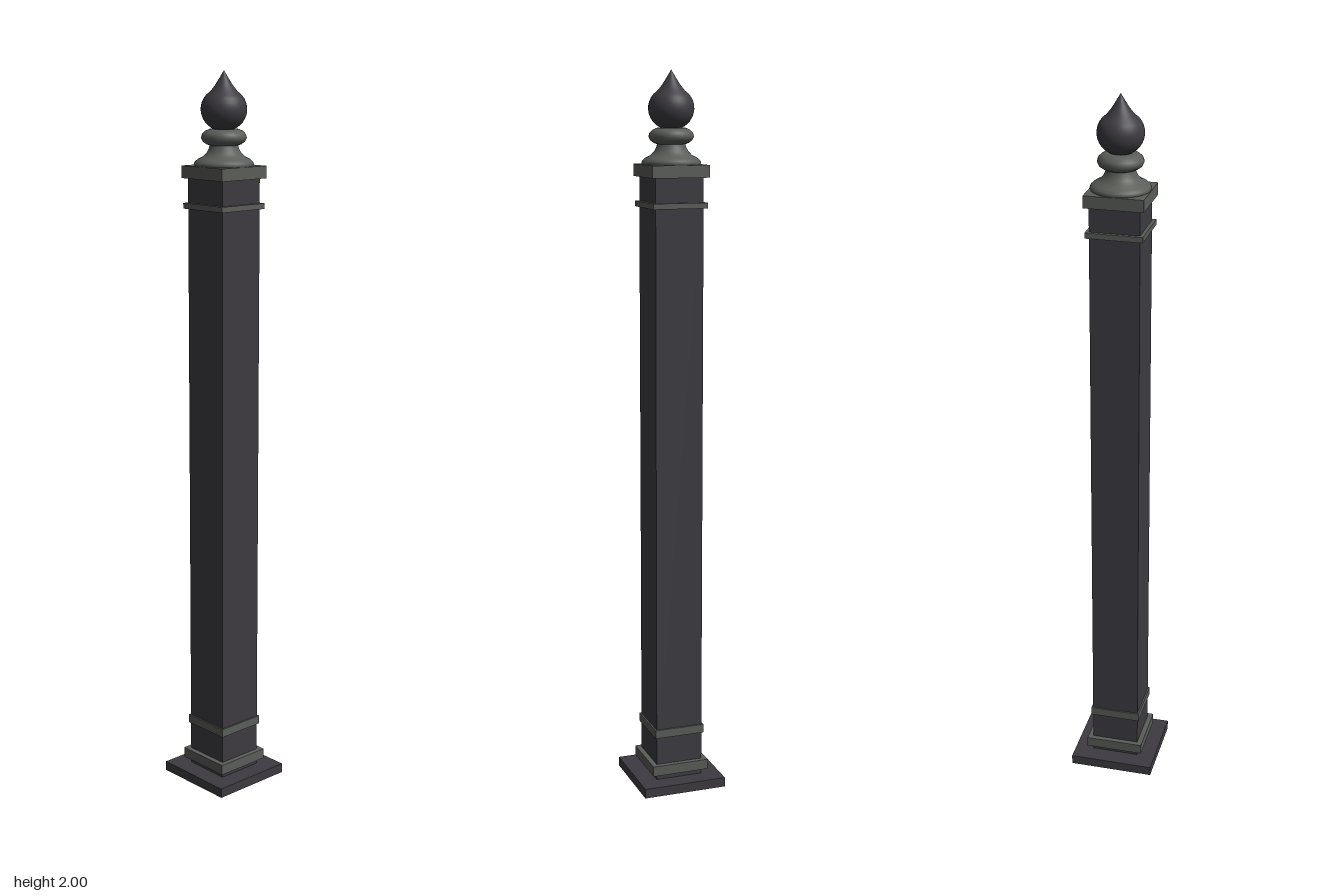
import * as THREE from 'three';

export function createModel() {
  const group = new THREE.Group();
  const iron = new THREE.MeshStandardMaterial({ name: 'darkIron', color: 0x3d3b41 });
  const grey = new THREE.MeshStandardMaterial({ name: 'greenGrey', color: 0x5a5d58 });

  // square block from height y0 to y1 with the given half width
  const block = (name, half, y0, y1, material) => {
    const mesh = new THREE.Mesh(new THREE.BoxGeometry(half * 2, y1 - y0, half * 2), material);
    mesh.position.y = (y0 + y1) / 2;
    mesh.name = name;
    group.add(mesh);
  };

  // turned part from [radius, height] points, bottom to top
  const turned = (name, points, material) => {
    const profile = points.map(([r, y]) => new THREE.Vector2(r, y));
    const mesh = new THREE.Mesh(new THREE.LatheGeometry(profile, 40), material);
    mesh.name = name;
    group.add(mesh);
  };

  // square post
  block('basePlate', 0.12, 0, 0.027, iron);
  block('shaft', 0.0675, 0.027, 1.722, iron);
  block('baseCollar', 0.082, 0.044, 0.073, grey);
  block('lowerBand', 0.072, 0.153, 0.177, grey);
  block('upperBand', 0.077, 1.639, 1.654, grey);
  block('capBlock', 0.08, 1.72, 1.753, grey);

  // flared foot of the finial
  turned('finialFoot', [
    [0.078, 1.753], [0.08, 1.757], [0.078, 1.763], [0.07, 1.77],
    [0.056, 1.777], [0.046, 1.787], [0.04, 1.798], [0.037, 1.81],
  ], grey);

  // rounded ring below the ball
  turned('finialRing', [
    [0.034, 1.805], [0.046, 1.809], [0.056, 1.816], [0.061, 1.826],
    [0.058, 1.836], [0.05, 1.844], [0.038, 1.849], [0, 1.85],
  ], grey);

  // ball drawn out to a point
  const ball = [];
  for (let i = 0; i <= 12; i++) {
    const a = -Math.PI / 2 + (i / 12) * Math.PI * 0.72;
    ball.push([Math.max(0, 0.0615 * Math.cos(a)), 1.9 + 0.0575 * Math.sin(a)]);
  }
  ball.push([0.036, 1.946], [0.024, 1.961], [0.012, 1.98], [0, 2]);
  turned('finialBall', ball, iron);

  return group;
}
